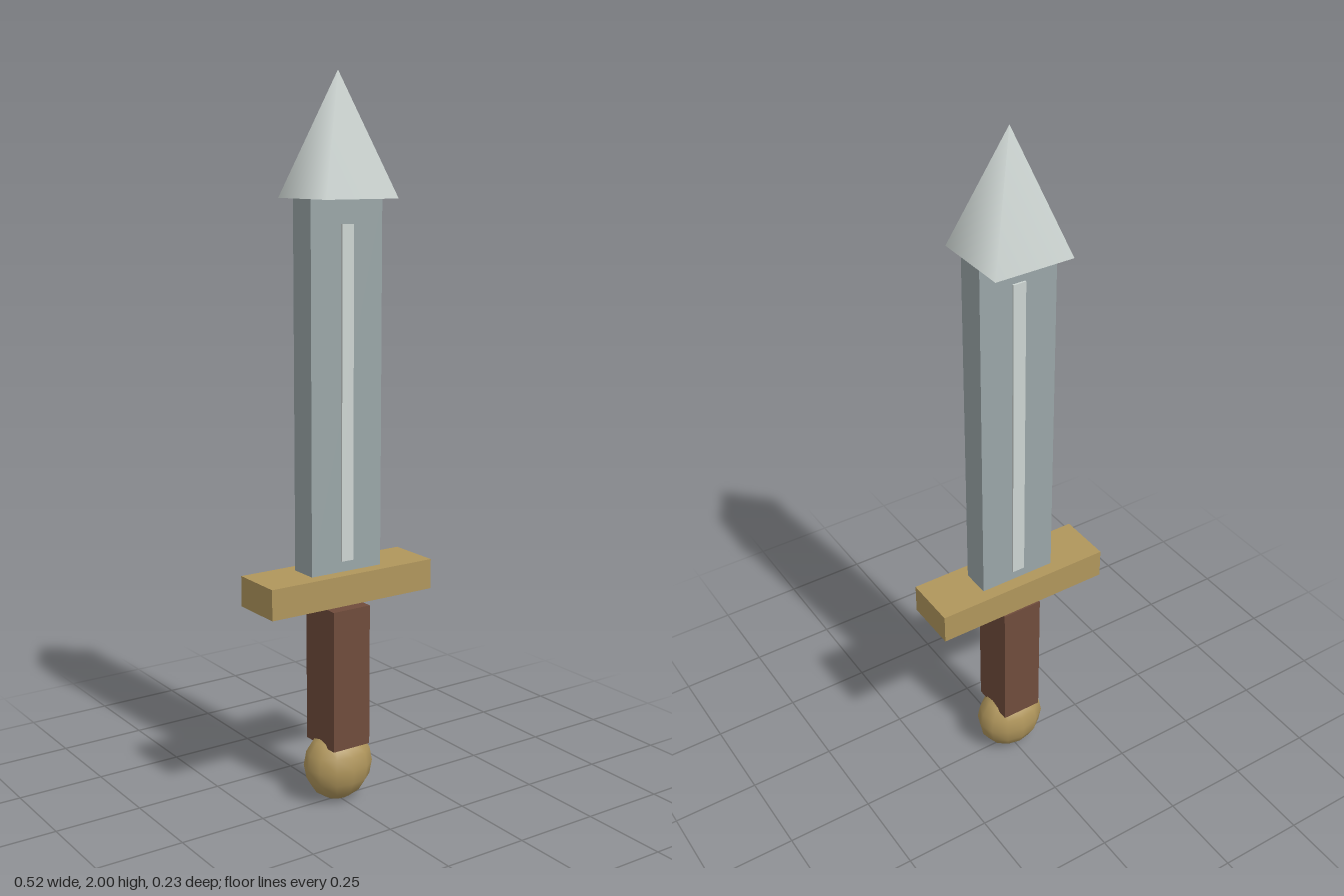
import * as THREE from 'three';

const paint = (color) => new THREE.MeshStandardMaterial({ color });

export function createModel() {
  const sword = new THREE.Group();
  sword.name = 'sword';

  const steel = paint(0x9aa6a8);
  const brightSteel = paint(0xcdd5d2);
  const brass = paint(0xb0965c);
  const leather = paint(0x704c3c);

  const add = (name, geometry, material, y, z = 0) => {
    const mesh = new THREE.Mesh(geometry, material);
    mesh.name = name;
    mesh.position.set(0, y, z);
    sword.add(mesh);
    return mesh;
  };
  // Box spanning y0..y1, centred on x and z
  const slab = (name, width, y0, y1, depth, material, z = 0) =>
    add(name, new THREE.BoxGeometry(width, y1 - y0, depth), material, (y0 + y1) / 2, z);

  // Blade with a raised ridge on each face
  slab('blade', 0.226, 0.675, 1.675, 0.083, steel);
  for (const side of [1, -1]) {
    slab(side > 0 ? 'frontRidge' : 'backRidge', 0.037, 0.705, 1.61, 0.012, brightSteel, side * 0.041);
  }

  // Four-sided tip, softly shaded, wider than the blade is thick
  const tip = new THREE.ConeGeometry(0.16, 0.325, 4);
  tip.rotateY(Math.PI / 4);
  add('tip', tip, brightSteel, 1.8375);

  // Crossguard and grip, with a narrow gap between them
  slab('crossguard', 0.524, 0.59, 0.675, 0.157, brass);
  slab('grip', 0.12, 0.17, 0.573, 0.135, leather);

  // Flattened ball pommel
  const pommel = add('pommel', new THREE.SphereGeometry(0.104, 12, 8), brass, 0.104);
  pommel.scale.set(0.99, 1, 0.78);

  return sword;
}
